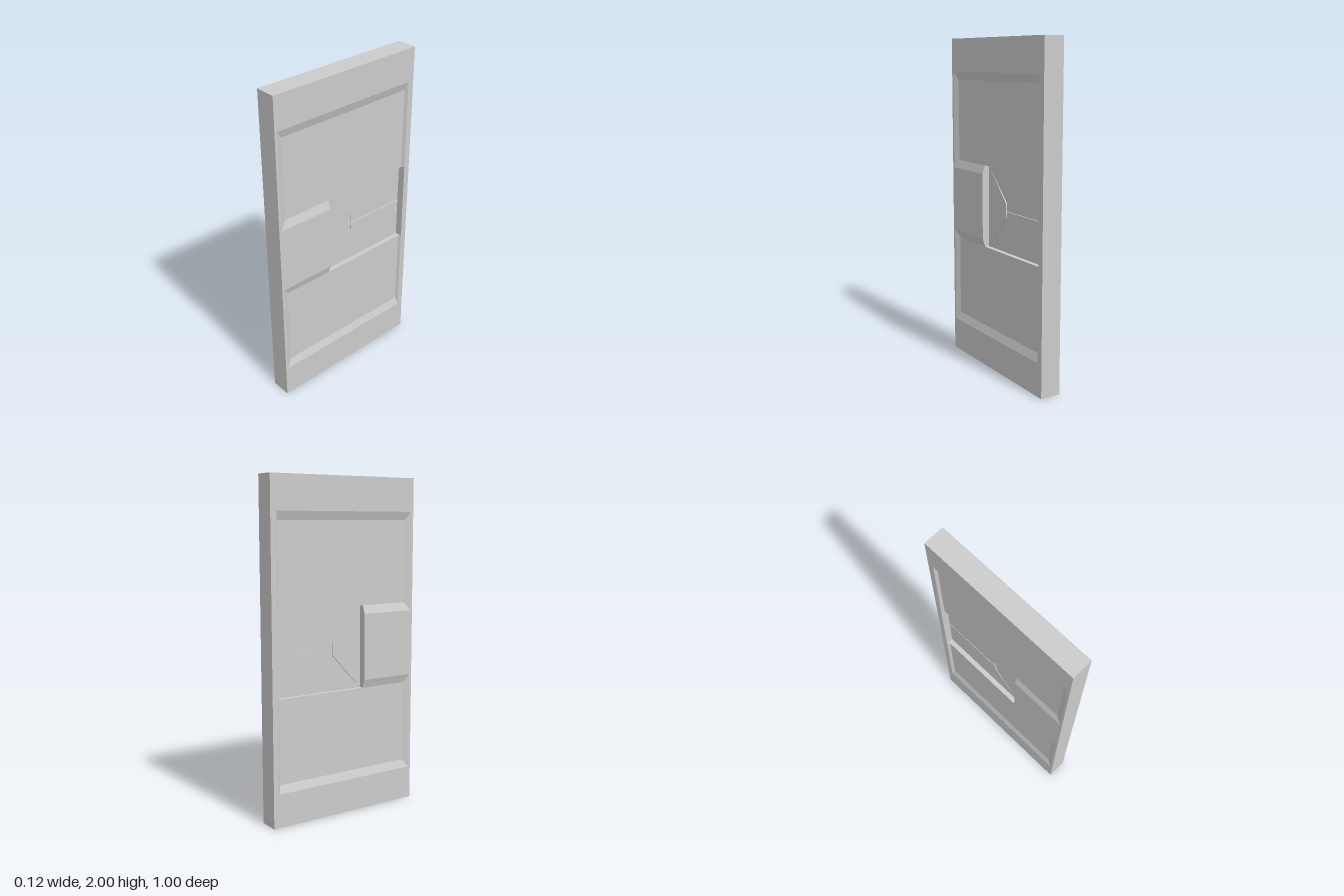
import * as THREE from 'three';

const HALF = 0.0625;   // half thickness of the slab
const PANEL = 0.016;   // depth of the bevelled panels
const POCKET = 0.045;  // depth of the handle pocket
const GROOVE = 0.053;  // depth of the grooves in the pocket floor

// Points are [u, y, depth]: u runs toward -z, depth runs inward from the broad face.
const at = (points, depth) => points.map(([u, y]) => [u, y, depth]);
const flipY = (points) => points.map(([u, y, d]) => [u, 2 - y, d]).reverse();
const rect = (u0, y0, u1, y1) => [[u0, y0], [u1, y0], [u1, y1], [u0, y1]];

// Strip between a high and a low path, facing left of the direction of travel
function wall(hi, lo) {
  const tris = [];
  for (let i = 0; i + 1 < hi.length; i++) {
    tris.push(lo[i], hi[i], hi[i + 1], lo[i], hi[i + 1], lo[i + 1]);
  }
  return tris;
}

// Flat area parallel to the broad face
function flat(outline, depth, hole) {
  const toV = ([u, y]) => new THREE.Vector2(u, y);
  const shape = new THREE.Shape(outline.map(toV));
  if (hole) shape.holes.push(new THREE.Path(hole.map(toV)));
  const p = new THREE.ShapeGeometry(shape).toNonIndexed().attributes.position;
  return Array.from({ length: p.count }, (_, i) => [p.getX(i), p.getY(i), depth]);
}

function makeMesh(name, tris, side, material) {
  const pos = [];
  for (let i = 0; i < tris.length; i += 3) {
    const tri = side > 0 ? [0, 1, 2] : [0, 2, 1];
    for (const k of tri) {
      const [u, y, d] = tris[i + k];
      pos.push(side * (HALF - d), y, -u);
    }
  }
  const geometry = new THREE.BufferGeometry();
  geometry.setAttribute('position', new THREE.Float32BufferAttribute(pos, 3));
  geometry.computeVertexNormals();
  const mesh = new THREE.Mesh(geometry, material);
  mesh.name = name;
  return mesh;
}

export function createModel() {
  const group = new THREE.Group();
  group.name = 'doorPanel';
  const material = new THREE.MeshStandardMaterial({ color: 0xcccccc, flatShading: true });

  // Four narrow edges of the slab
  const border = rect(-0.5, 0, 0.5, 2);
  const around = [...border, border[0]].reverse();
  group.add(makeMesh('slabEdges', wall(at(around, 0), at(around, 2 * HALF)), 1, material));

  // Opening in the broad face: two panels joined by the pocket
  const opening = [
    [-0.485, 0.2], [0.462, 0.2], [0.462, 1.8], [-0.485, 1.8],
    [-0.485, 1.2], [-0.135, 1.2], [-0.135, 0.8], [-0.485, 0.8],
  ];

  // Bevel around the upper panel
  const bevelHi = at([[0.462, 1.25], [0.462, 1.8], [-0.485, 1.8], [-0.485, 1.2], [-0.135, 1.2]], 0);
  const bevelLo = at([[0.45, 1.25], [0.45, 1.75], [-0.447, 1.75], [-0.447, 1.25], [-0.135, 1.25]], PANEL);

  // Rim of the pocket, following the panel floors and the bevels
  const rim = [
    [-0.135, 0.75, PANEL], [0.45, 0.75, PANEL], [0.462, 0.75, 0],
    [0.462, 1.25, 0], [0.45, 1.25, PANEL], [-0.135, 1.25, PANEL],
    [-0.135, 1.2, 0], [-0.135, 0.8, 0], [-0.135, 0.75, PANEL],
  ];

  // Raised plates of the pocket floor, separated by narrow grooves
  const wedge = [[-0.135, 0.75], [0.06, 0.958], [0.06, 1.042], [-0.135, 1.25]];
  const plateEdge = [[-0.135, 1.25], [0.07, 1.046], [0.07, 1.005], [0.462, 1.005]];
  const upperPlate = [...plateEdge, [0.462, 1.25]];
  const plateWall = wall(at(plateEdge, POCKET).reverse(), at(plateEdge, GROOVE).reverse());
  const lowerEdge = flipY(plateEdge);
  const lowerWall = wall(at(lowerEdge, POCKET).reverse(), at(lowerEdge, GROOVE).reverse());
  const wedgeWall = wall(at(wedge, POCKET).reverse(), at(wedge, GROOVE).reverse());

  // Both broad faces are mirror images
  for (const side of [1, -1]) {
    const face = new THREE.Group();
    face.name = side > 0 ? 'leftFace' : 'rightFace';
    const add = (name, tris) => face.add(makeMesh(name, tris, side, material));
    add('surface', flat(border, 0, opening));
    add('upperPanelBevel', wall(bevelHi, bevelLo));
    add('lowerPanelBevel', wall(flipY(bevelHi), flipY(bevelLo)));
    add('upperPanelFloor', flat(rect(-0.447, 1.25, 0.45, 1.75), PANEL));
    add('lowerPanelFloor', flat(rect(-0.447, 0.25, 0.45, 0.75), PANEL));
    add('pocketWalls', wall(rim, at(rim, GROOVE)));
    add('grooveFloor', flat(rect(-0.135, 0.75, 0.462, 1.25), GROOVE));
    add('pocketWedge', [...flat(wedge, POCKET), ...wedgeWall]);
    add('pocketUpperPlate', [...flat(upperPlate, POCKET), ...plateWall]);
    add('pocketLowerPlate', [...flat(flipY(upperPlate), POCKET), ...lowerWall]);
    group.add(face);
  }
  return group;
}
